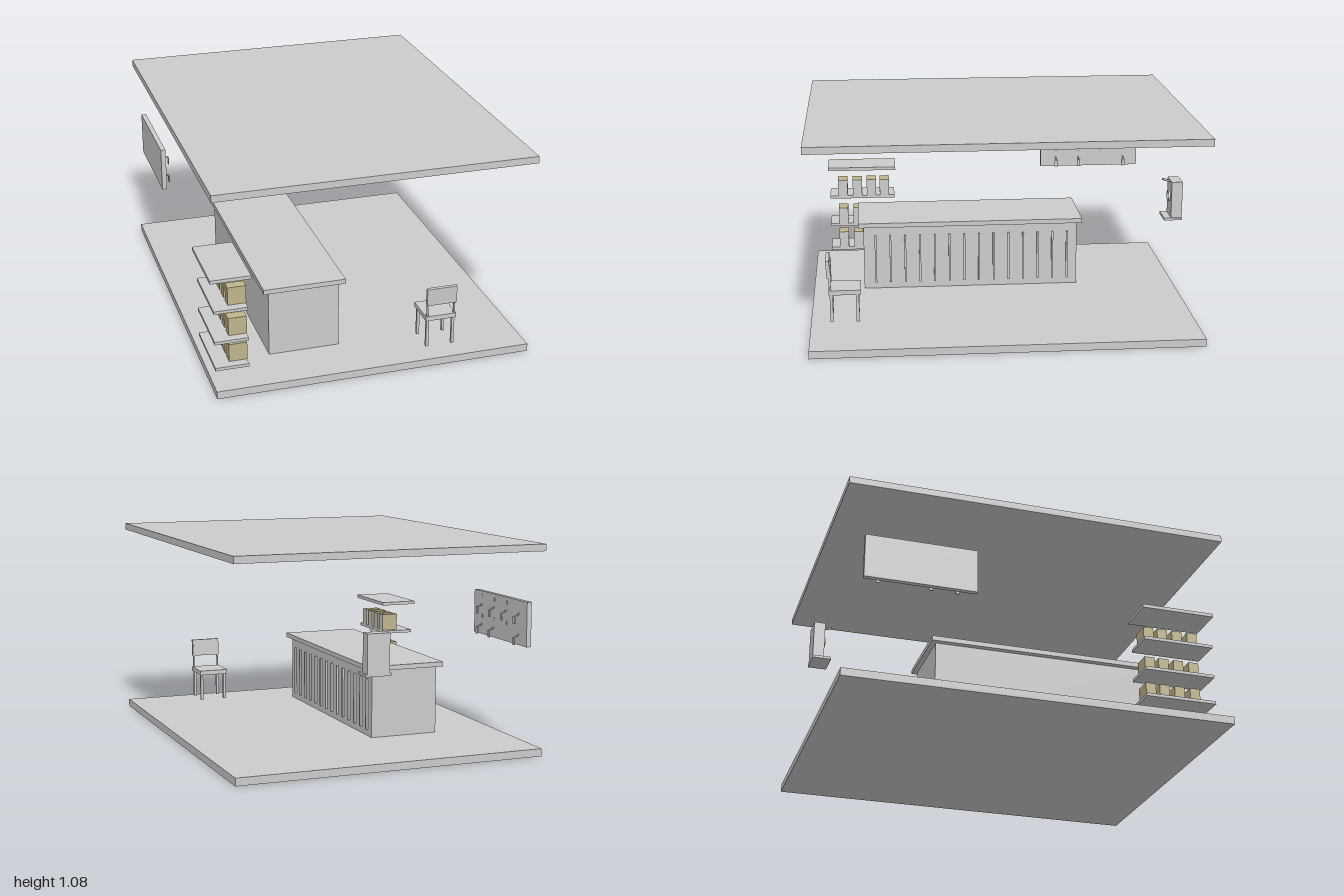
import * as THREE from 'three';

const grey = new THREE.MeshStandardMaterial({ color: 0xcccccc });
grey.name = 'pale grey';
const tan = new THREE.MeshStandardMaterial({ color: 0xc0b58c });
tan.name = 'tan';

// Box given by its minimum and maximum on each axis
function block(name, [x0, x1], [y0, y1], [z0, z1], material = grey) {
  const mesh = new THREE.Mesh(new THREE.BoxGeometry(x1 - x0, y1 - y0, z1 - z0), material);
  mesh.position.set((x0 + x1) / 2, (y0 + y1) / 2, (z0 + z1) / 2);
  mesh.name = name;
  return mesh;
}

// Round rod between two points
function rod(name, a, b, radius, material = grey) {
  const from = new THREE.Vector3(...a), to = new THREE.Vector3(...b);
  const dir = to.clone().sub(from);
  const mesh = new THREE.Mesh(new THREE.CylinderGeometry(radius, radius, dir.length(), 10), material);
  mesh.position.copy(from).add(to).multiplyScalar(0.5);
  mesh.quaternion.setFromUnitVectors(new THREE.Vector3(0, 1, 0), dir.normalize());
  mesh.name = name;
  return mesh;
}

function group(name, ...parts) {
  const g = new THREE.Group();
  g.name = name;
  if (parts.length) g.add(...parts);
  return g;
}

function makeCounter() {
  const g = group('counter',
    block('counterBody', [-0.48, -0.112], [0.04, 0.397], [-0.46, 0.722]),
    block('counterTop', [-0.51, -0.084], [0.397, 0.422], [-0.485, 0.75]));
  // Upright slats on the customer side
  for (let i = 0; i < 14; i++) {
    const z = 0.657 - i * 0.0817;
    g.add(block('slat', [-0.112, -0.101], [0.075, 0.345], [z - 0.005, z + 0.005]));
  }
  return g;
}

function makeShelves() {
  const g = group('shelves', block('topShelf', [-0.817, -0.613], [0.585, 0.603], [0.533, 0.92]));
  // Goods have tan sides and a grey front
  const faces = [grey, tan, tan, tan, tan, tan];
  for (const y of [0.119, 0.264, 0.431]) {
    g.add(block('shelf', [-0.8, -0.63], [y - 0.016, y], [0.54, 0.912]));
    for (const z of [0.838, 0.754, 0.673, 0.598]) {
      g.add(block('goodsBox', [-0.72, -0.627], [y, y + 0.094], [z - 0.027, z + 0.027], faces));
    }
  }
  return g;
}

function makeTapWall() {
  const g = group('tapWall', block('tapPanel', [-0.795, -0.769], [0.547, 0.778], [-0.904, -0.332]));
  const columns = [-0.421, -0.555, -0.689, -0.823];
  [0.708, 0.6].forEach((y, row) => columns.forEach((z, col) => {
    // Hook with a hanging handle
    if (!(row === 1 && col === 2)) {
      g.add(rod('tapArm', [-0.77, y, z], [-0.741, y - 0.013, z], 0.004));
      g.add(block('tapHandle', [-0.743, -0.737], [y - 0.05, y - 0.012], [z - 0.009, z + 0.009]));
    }
    // Small tan mark above each of the first three
    if (col < 3) {
      g.add(block('tag', [-0.769, -0.767], [y + 0.032, y + 0.052], [z - 0.008, z + 0.008], tan));
    }
  }));
  return g;
}

function makeDispenser() {
  const g = group('dispenser',
    block('dispenserBody', [0.026, 0.144], [0.483, 0.681], [-0.995, -0.936]),
    block('dripTray', [0.017, 0.153], [0.471, 0.484], [-0.995, -0.898]),
    rod('dispenserKnob', [0.085, 0.686, -0.894], [0.085, 0.672, -0.937], 0.006, tan));
  // Ring on the front panel
  const shape = new THREE.Shape().absarc(0, 0, 0.029, 0, Math.PI * 2);
  shape.holes.push(new THREE.Path().absarc(0, 0, 0.022, 0, Math.PI * 2, true));
  const ring = new THREE.Mesh(
    new THREE.ExtrudeGeometry(shape, { depth: 0.01, bevelEnabled: false, curveSegments: 16 }), grey);
  ring.position.set(0.085, 0.592, -0.936);
  ring.name = 'dispenserRing';
  g.add(ring);
  return g;
}

function makeChair() {
  const g = group('chair', block('seat', [0.291, 0.454], [0.203, 0.228], [0.737, 0.905]));
  for (const x of [0.304, 0.441]) {
    for (const z of [0.756, 0.891]) {
      g.add(block('leg', [x - 0.007, x + 0.007], [0.055, 0.205], [z - 0.008, z + 0.008]));
    }
  }
  for (const x of [0.301, 0.444]) {
    g.add(block('backPost', [x - 0.004, x + 0.004], [0.222, 0.36], [0.892, 0.902]));
  }
  const back = block('backrest', [0.293, 0.451], [0.293, 0.387], [0.896, 0.914]);
  back.rotation.x = 0.05;
  g.add(back);
  return g;
}

export function createModel() {
  return group('shopInterior',
    block('floor', [-0.815, 0.815], [0, 0.04], [-1, 1]),
    block('ceiling', [-0.815, 0.815], [1.043, 1.079], [-1, 1]),
    makeCounter(), makeShelves(), makeTapWall(), makeDispenser(), makeChair());
}
